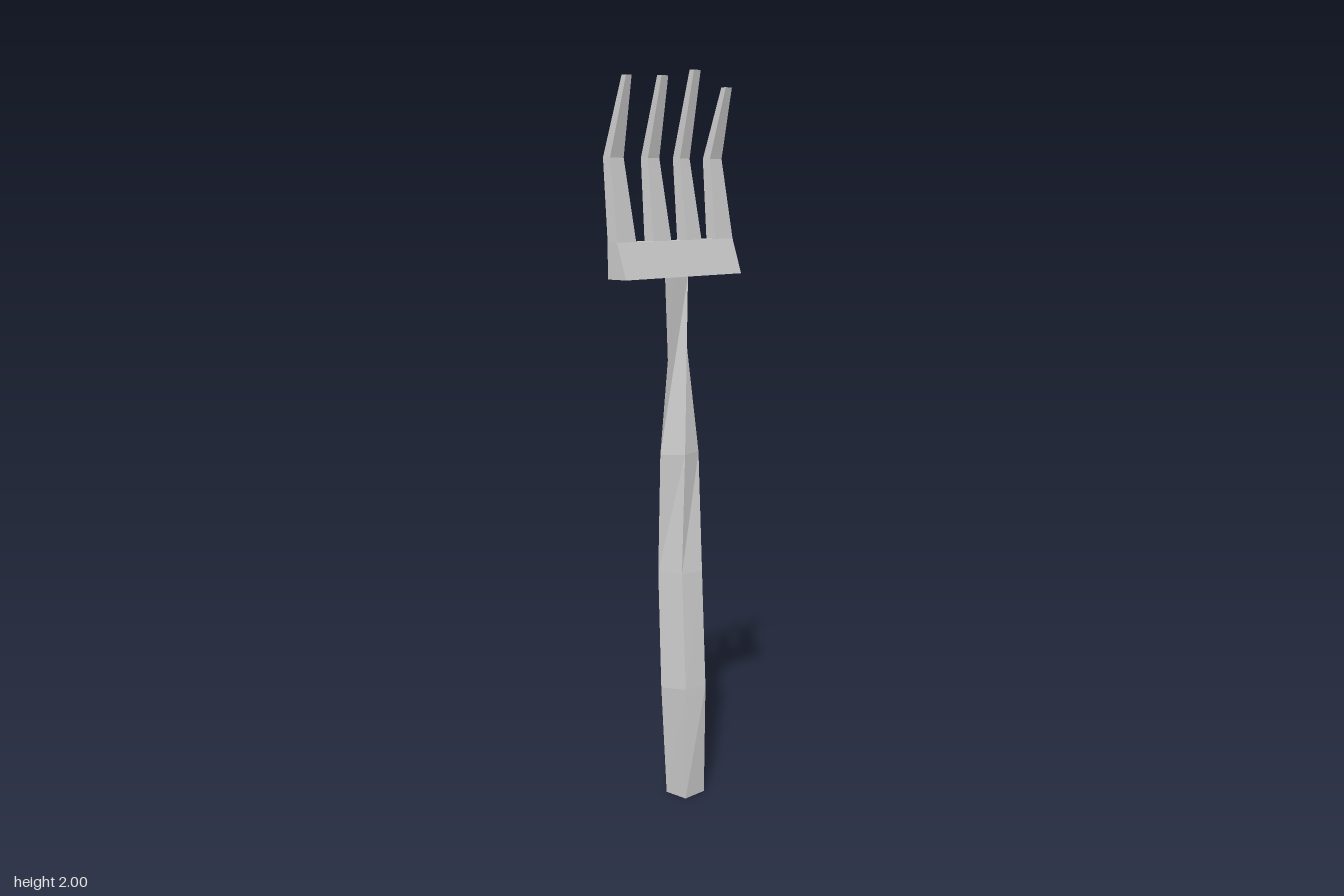
import * as THREE from 'three';

const material = new THREE.MeshStandardMaterial({ color: 0xcccccc, flatShading: true });

// Skin four-cornered sections, bottom to top.
// Each section: [y, [x, z] x 4], corners counter-clockwise seen from above.
function loft(name, sections) {
  const rings = sections.map(([y, ...c]) => c.map(([x, z]) => [x, y, z]));
  const pos = [];
  const quad = (a, b, c, d) => pos.push(...a, ...b, ...c, ...a, ...c, ...d);
  for (let i = 0; i < rings.length - 1; i++) {
    for (let k = 0; k < 4; k++) {
      const n = (k + 1) % 4;
      quad(rings[i][k], rings[i][n], rings[i + 1][n], rings[i + 1][k]);
    }
  }
  quad(...[...rings[0]].reverse());
  quad(...rings[rings.length - 1]);
  const geometry = new THREE.BufferGeometry();
  geometry.setAttribute('position', new THREE.Float32BufferAttribute(pos, 3));
  geometry.computeVertexNormals();
  const mesh = new THREE.Mesh(geometry, material);
  mesh.name = name;
  return mesh;
}

// Axis-aligned rectangular section
const rect = (y, x0, x1, z0, z1) => [y, [x0, z1], [x1, z1], [x1, z0], [x0, z0]];

export function createModel() {
  const group = new THREE.Group();
  group.name = 'fork';

  // Crooked, twisting, hand-carved handle
  group.add(loft('handle', [
    [0, [-0.04, 0], [0.033, 0], [0.033, -0.077], [-0.04, -0.068]],
    [0.32, [-0.027, 0.035], [0.037, 0.004], [0.053, -0.06], [-0.025, -0.045]],
    [0.65, [-0.033, 0.04], [0.028, 0.01], [0.046, -0.052], [-0.03, -0.043]],
    [0.98, [-0.015, 0.05], [0.03, 0], [0.02, -0.065], [-0.056, -0.035]],
    [1.46, [0.014, 0.025], [0.016, -0.026], [-0.02, -0.03], [-0.025, 0.02]],
  ]));

  // Wedge-shaped crossbar
  group.add(loft('crossbar', [
    rect(1.46, -0.034, 0.032, -0.225, 0.225),
    rect(1.555, -0.034, 0, -0.225, 0.225),
  ]));

  // Bent, tapering tines: z range at root, bend and tip, then tip height
  const tines = [
    [[0.155, 0.225], [0.167, 0.216], [0.18, 0.2], 1.975],
    [[0.022, 0.089], [0.034, 0.077], [0.045, 0.07], 1.98],
    [[-0.097, -0.037], [-0.084, -0.046], [-0.08, -0.054], 2.0],
    [[-0.225, -0.155], [-0.214, -0.166], [-0.206, -0.181], 1.96],
  ];
  tines.forEach(([root, bend, tip, top], i) => {
    group.add(loft(`tine${i + 1}`, [
      rect(1.555, -0.034, 0, ...root),
      rect(1.77, -0.058, -0.032, ...bend),
      rect(top, -0.005, 0.011, ...tip),
    ]));
  });

  return group;
}
